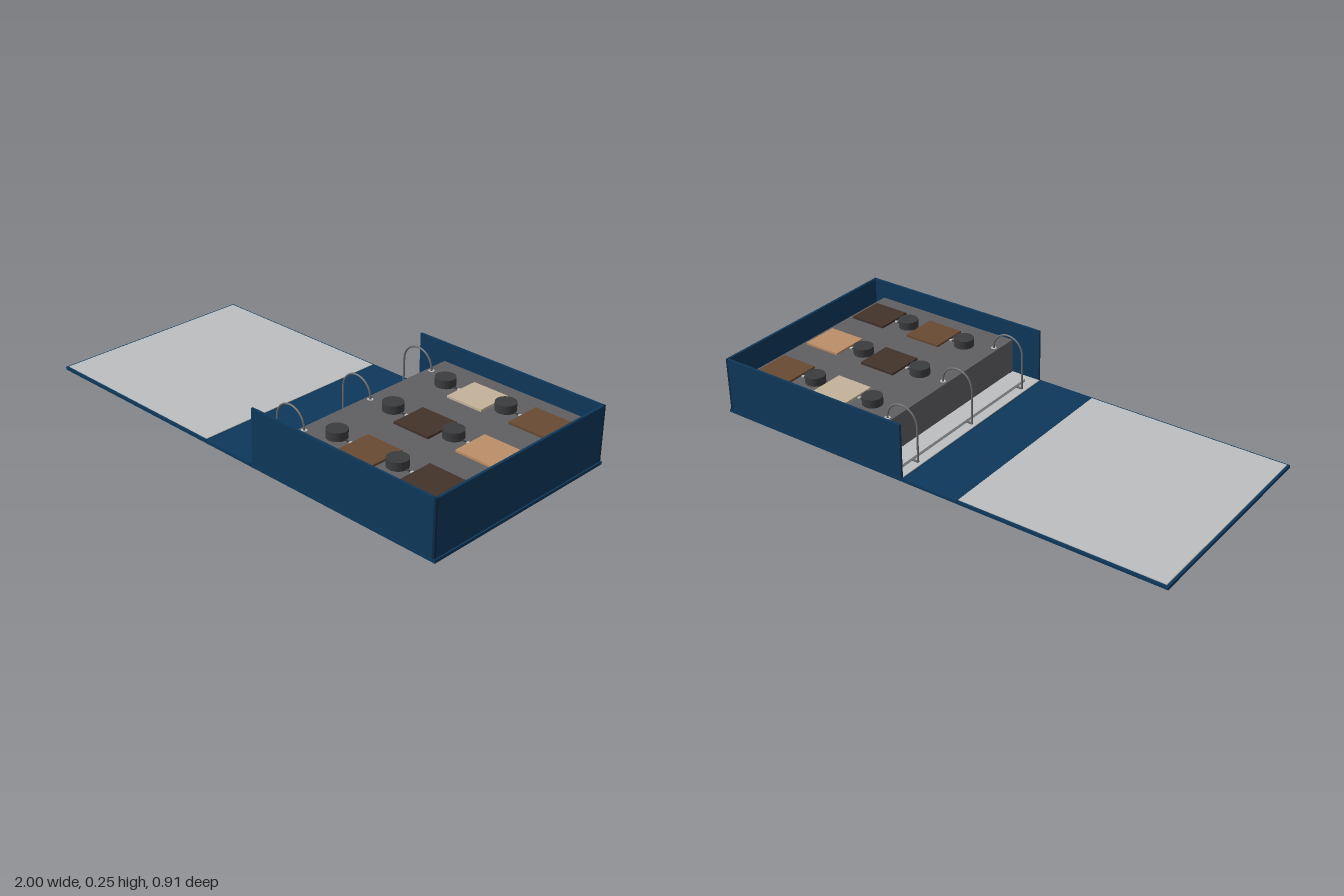
import * as THREE from 'three';

const mat = (name, color) => {
  const m = new THREE.MeshStandardMaterial({ color });
  m.name = name;
  return m;
};

export function createModel() {
  const navy = mat('navy cloth', 0x0e385b);
  const edge = mat('dark navy edging', 0x0a2a44);
  const lining = mat('light grey lining', 0xbcbec0);
  const board = mat('charcoal board', 0x5f5f62);
  const dark = mat('dark discs', 0x3b3c3e);
  const steel = mat('ring steel', 0x6a6c70);
  const cream = mat('cream swatch', 0xc4b29b);
  const brown = mat('brown swatch', 0x684a32);
  const umber = mat('umber swatch', 0x42322a);
  const tan = mat('tan swatch', 0xbc8e67);

  const model = new THREE.Group();
  model.name = 'sampleBinder';

  const add = (name, geometry, material, x = 0, y = 0, z = 0) => {
    const m = new THREE.Mesh(geometry, material);
    m.name = name;
    m.position.set(x, y, z);
    model.add(m);
    return m;
  };
  // box given by its limits on each axis
  const box = (name, material, x0, x1, y0, y1, z0, z1) =>
    add(name, new THREE.BoxGeometry(x1 - x0, y1 - y0, z1 - z0), material,
      (x0 + x1) / 2, (y0 + y1) / 2, (z0 + z1) / 2);

  // open cover: front panel, spine and tray base
  box('frontCover', navy, -1, -0.129, 0, 0.012, -0.457, 0.457);
  box('spine', navy, -0.127, 0.121, 0, 0.012, -0.457, 0.457);
  box('backCover', navy, 0.123, 1, 0, 0.012, -0.457, 0.457);
  box('coverLining', lining, -0.99, -0.13, 0.012, 0.015, -0.448, 0.448);
  box('trayLining', lining, 0.124, 0.985, 0.012, 0.016, -0.446, 0.446);

  // tray walls on three sides, with edged outer corners
  for (const s of [-1, 1]) {
    const side = s > 0 ? 'front' : 'back';
    const [z0, z1] = s > 0 ? [0.445, 0.455] : [-0.455, -0.445];
    box(side + 'Wall', navy, 0.127, 0.984, 0.012, 0.24, z0, z1);
    box(side + 'CornerEdging', edge, 0.984, 0.994, 0.012, 0.24, z0, z1);
  }
  box('endWall', navy, 0.984, 0.994, 0.012, 0.24, -0.445, 0.445);

  // thick stack of sample boards
  const top = 0.165;
  box('sampleBoard', board, 0.257, 0.937, 0.016, top, -0.442, 0.442);

  // ring mechanism
  box('ringPlate', lining, 0.165, 0.245, 0.016, 0.03, -0.4, 0.4);
  const cx = 0.208, r = 0.07, spring = 0.172;
  const ringPath = new THREE.CurvePath();
  const points = [new THREE.Vector3(cx - r, 0.02, 0)];
  points.push(new THREE.Vector3(cx - r, 0.1, 0));
  for (let i = 0; i <= 12; i++) {
    const a = Math.PI * (1 - i / 12);
    points.push(new THREE.Vector3(cx + r * Math.cos(a), spring + r * Math.sin(a), 0));
  }
  points.push(new THREE.Vector3(cx + r, 0.1, 0));
  for (let i = 1; i < points.length; i++) {
    ringPath.add(new THREE.LineCurve3(points[i - 1], points[i]));
  }
  const ringGeo = new THREE.TubeGeometry(ringPath, 64, 0.004, 8);
  const eyelet = new THREE.RingGeometry(0.005, 0.012, 20).rotateX(-Math.PI / 2);
  for (const z of [-0.34, 0, 0.34]) {
    add('binderRing', ringGeo, steel, 0, 0, z);
    box('ringCrossbar', steel, cx - r, 0.165, 0.018, 0.024, z - 0.004, z + 0.004);
    add('ringEyelet', eyelet, lining, cx + r, top + 0.001, z);
  }

  // material swatches, each with a round disc beside it
  const swatches = [[cream, brown], [umber, tan], [brown, umber]];
  const discGeo = new THREE.CylinderGeometry(0.041, 0.041, 0.034, 32);
  const studGeo = new THREE.CylinderGeometry(0.007, 0.007, 0.004, 12);
  swatches.forEach((row, j) => {
    const z = (j - 1) * 0.29;
    row.forEach((material, i) => {
      const x = 0.548 + i * 0.288;
      box('swatch', material, x - 0.081, x + 0.081, top, top + 0.009, z - 0.079, z + 0.079);
      add('disc', discGeo, dark, x - 0.156, top + 0.017, z);
      box('discTie', dark, x - 0.118, x - 0.095, top, top + 0.004, z - 0.003, z + 0.003);
      add('tieStud', studGeo, lining, x - 0.09, top + 0.002, z);
    });
  });

  return model;
}
